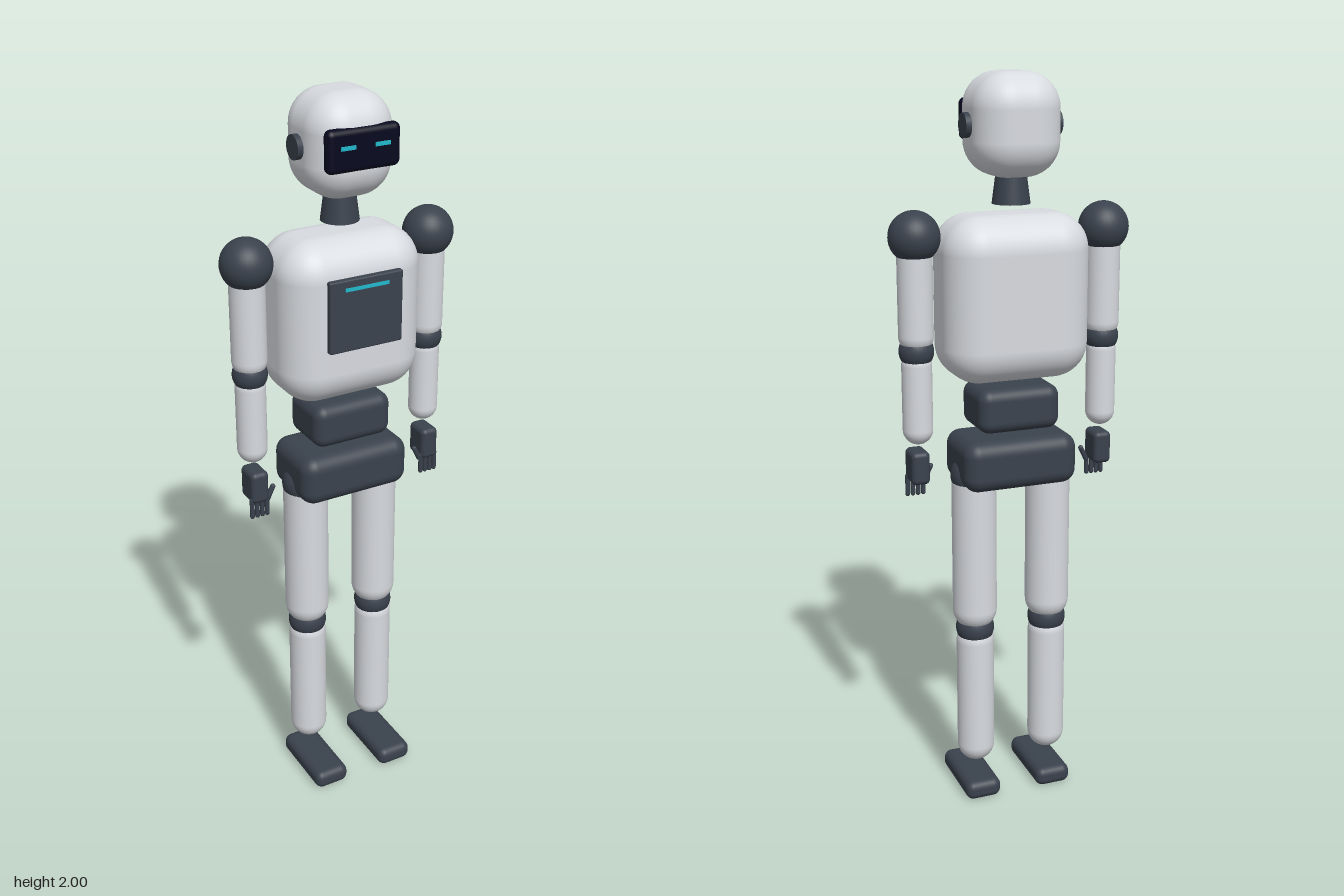
import * as THREE from 'three';
import { RoundedBoxGeometry } from 'three/addons/geometries/RoundedBoxGeometry.js';

const Z = -0.015; // depth of the body's vertical axis

function material(name, color) {
  const m = new THREE.MeshStandardMaterial({ color });
  m.name = name;
  return m;
}

export function createModel() {
  const shell = material('light grey shell', 0xd8dbe0);
  const joint = material('dark slate', 0x3a424d);
  const glass = material('visor black', 0x08081f);
  const glow = material('cyan glow', 0x22b8cc);
  const model = new THREE.Group();
  model.name = 'humanoidRobot';

  const add = (parent, name, geometry, mat, x, y, z) => {
    const mesh = new THREE.Mesh(geometry, mat);
    mesh.name = name;
    mesh.position.set(x, y, z);
    parent.add(mesh);
    return mesh;
  };
  const rounded = (w, h, d, r) => new RoundedBoxGeometry(w, h, d, 6, r);
  const ball = (r) => new THREE.SphereGeometry(r, 32, 24);
  // Limb capsule between two overall end heights
  const limb = (parent, name, r, bottom, top, x) =>
    add(parent, name, new THREE.CapsuleGeometry(r, top - bottom - 2 * r, 10, 28),
      shell, x, (top + bottom) / 2, Z);

  // Head with visor and glowing eyes
  const head = new THREE.Group();
  head.name = 'head';
  model.add(head);
  add(head, 'skull', rounded(0.23, 0.26, 0.236, 0.09), shell, 0, 1.87, Z);
  add(head, 'visor', rounded(0.2, 0.106, 0.034, 0.016), glass, 0, 1.878, 0.094);
  for (const s of [-1, 1]) {
    add(head, 'eye', new THREE.BoxGeometry(0.04, 0.01, 0.005), glow, s * 0.047, 1.887, 0.111);
    const ear = add(head, 'ear', new THREE.CylinderGeometry(0.031, 0.031, 0.03, 28), joint, s * 0.115, 1.87, Z);
    ear.rotation.z = Math.PI / 2;
  }
  add(model, 'neck', new THREE.CylinderGeometry(0.038, 0.05, 0.09, 28), joint, 0, 1.717, Z);

  // Trunk
  add(model, 'torso', rounded(0.394, 0.434, 0.248, 0.095), shell, 0, 1.433, -0.014);
  add(model, 'chestPanel', rounded(0.208, 0.19, 0.024, 0.005), joint, 0, 1.471, 0.112);
  add(model, 'chestLight', new THREE.BoxGeometry(0.124, 0.009, 0.005), glow, 0, 1.541, 0.124);
  add(model, 'abdomen', rounded(0.226, 0.12, 0.166, 0.032), joint, 0, 1.141, -0.013);
  add(model, 'pelvis', rounded(0.316, 0.138, 0.206, 0.04), joint, 0, 0.996, -0.013);

  for (const s of [-1, 1]) {
    // Arm
    const arm = new THREE.Group();
    arm.name = s > 0 ? 'leftArm' : 'rightArm';
    model.add(arm);
    const ax = s * 0.261;
    add(arm, 'shoulder', ball(0.067), joint, ax, 1.6, Z);
    limb(arm, 'upperArm', 0.046, 1.301, 1.6, ax);
    add(arm, 'elbow', ball(0.046), joint, ax, 1.307, Z);
    limb(arm, 'forearm', 0.04, 1.058, 1.311, ax);

    // Hand: palm, four fingers along the front edge and a slanted thumb
    const hand = new THREE.Group();
    hand.name = 'hand';
    arm.add(hand);
    add(hand, 'palm', rounded(0.05, 0.09, 0.076, 0.014), joint, ax, 0.995, -0.006);
    for (let i = 0; i < 4; i++) {
      add(hand, 'finger', new THREE.CapsuleGeometry(0.0065, 0.05, 4, 10), joint,
        ax + (i - 1.5) * 0.0145, 0.936, 0.018);
    }
    const thumb = add(hand, 'thumb', new THREE.CapsuleGeometry(0.007, 0.036, 4, 10), joint,
      ax - s * 0.034, 0.968, 0.014);
    thumb.rotation.z = -s * 0.45;
    thumb.rotation.z *= -1;

    // Leg
    const leg = new THREE.Group();
    leg.name = s > 0 ? 'leftLeg' : 'rightLeg';
    model.add(leg);
    const lx = s * 0.107;
    add(leg, 'hip', ball(0.063), joint, lx, 0.955, Z);
    limb(leg, 'thigh', 0.061, 0.506, 0.993, lx);
    add(leg, 'knee', ball(0.053), joint, lx, 0.51, Z);
    limb(leg, 'shin', 0.052, 0.1, 0.522, lx);
    add(leg, 'foot', rounded(0.102, 0.054, 0.226, 0.022), joint, s * 0.106, 0.029, 0.024);
  }
  return model;
}
